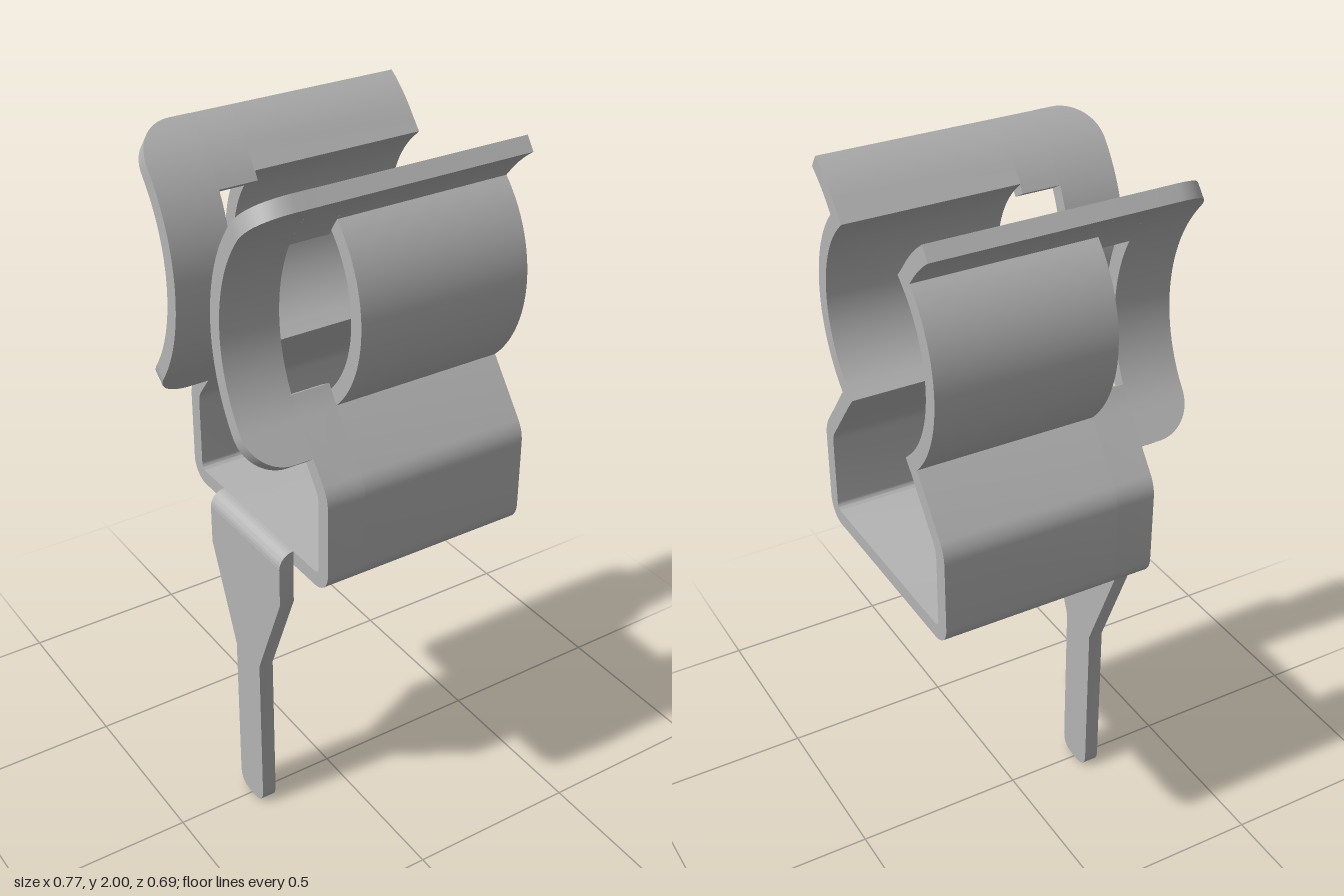
import * as THREE from 'three';
import { toCreasedNormals } from 'three/addons/utils/BufferGeometryUtils.js';

const HALF = 0.0215;                       // half the sheet thickness
const XR = 0.385, XWIN = -0.11, XBODY = -0.22, XEND = -0.385;
const TILT = THREE.MathUtils.degToRad(38), R = 0.43;
const TOP = 0.7025;                        // path length at the flared lip
const P = (z, y) => new THREE.Vector2(z, y);

// Inward-bowed jaw line: straight below s = 0, circular above
function jaw(s) {
  const a = -TILT + Math.max(s, 0) / R, low = Math.min(s, 0);
  return P(0.538 - R * Math.cos(a) - low * Math.sin(TILT), 1.63 + R * Math.sin(a) + low * Math.cos(TILT));
}
function jawRun(s0, s1, n) {
  return Array.from({ length: n + 1 }, (_, i) => jaw(s0 + (s1 - s0) * i / n));
}
const mirror = path => path.map(p => P(-p.x, p.y)).reverse();

// Bent sheet following a (z, y) path; left edge may vary along the path
function sheet(path, xLeft, xRight) {
  const pos = [], idx = [], n = path.length;
  path.forEach((p, i) => {
    const t0 = path[Math.max(i, 1)].clone().sub(path[Math.max(i - 1, 0)]).normalize();
    const t1 = path[Math.min(i + 1, n - 1)].clone().sub(path[Math.min(i, n - 2)]).normalize();
    const t = t0.clone().add(t1).normalize();
    const h = HALF / t.dot(t0);
    const nz = -t.y * h, ny = t.x * h;
    const xl = typeof xLeft === 'function' ? xLeft(i) : xLeft;
    pos.push(xl, p.y + ny, p.x + nz, xRight, p.y + ny, p.x + nz,
      xRight, p.y - ny, p.x - nz, xl, p.y - ny, p.x - nz);
    if (i < n - 1) for (let j = 0; j < 4; j++) {
      const a = i * 4 + j, b = i * 4 + (j + 1) % 4;
      idx.push(a, a + 4, b + 4, a, b + 4, b);
    }
  });
  const e = (n - 1) * 4;
  idx.push(0, 1, 2, 0, 2, 3, e, e + 2, e + 1, e, e + 3, e + 2);
  const g = new THREE.BufferGeometry();
  g.setAttribute('position', new THREE.Float32BufferAttribute(pos, 3));
  g.setIndex(idx);
  return toCreasedNormals(g, 0.6);
}

export function createModel() {
  const group = new THREE.Group();
  const metal = new THREE.MeshStandardMaterial({ color: 0xb4b4b4 });
  metal.name = 'grey metal';
  const add = (name, geometry) => {
    const m = new THREE.Mesh(geometry, metal);
    m.name = name;
    group.add(m);
  };

  // Half of the channel: floor, rounded corner, wall, bend into the slope
  const channel = [P(0, 0.943)];
  for (let i = 0; i <= 8; i++) {
    const a = -Math.PI / 2 + i * Math.PI / 16;
    channel.push(P(0.283 + 0.04 * Math.cos(a), 0.983 + 0.04 * Math.sin(a)));
  }
  const bend = new THREE.QuadraticBezierCurve(P(0.323, 1.18), P(0.323, 1.206), jaw(-0.175));
  channel.push(...bend.getPoints(6));
  const whole = half => [...mirror(half).slice(0, -1), ...half];

  // Full spring profile with the outward-bowed fuse seats
  const seat = [];
  for (let i = 0; i <= 28; i++) {
    const a = (i / 14 - 1) * 0.869;
    seat.push(P(-0.025 + 0.322 * Math.cos(a), 1.63 + 0.322 * Math.sin(a)));
  }
  const spring = [...channel, jaw(0), ...seat, ...jawRun(0.57, TOP, 6)];
  add('springBody', sheet(whole(spring), XWIN, XR));

  // Channel strip beneath the windows
  add('channelEnd', sheet(whole([...channel, ...jawRun(0, 0.066, 3)]), XBODY, XWIN));

  // End plates with rounded corners, and lips above the windows
  const s0 = -0.102, len = TOP - s0, steps = 56, r = 0.11;
  const along = i => len * (1 - Math.cos(Math.PI * i / steps)) / 2;
  const plate = Array.from({ length: steps + 1 }, (_, i) => jaw(s0 + along(i)));
  const corner = i => {
    const d = Math.min(along(i), len - along(i));
    return d >= r ? XEND : XEND + r - Math.sqrt(Math.max(0, r * r - (r - d) ** 2));
  };
  const lip = jawRun(0.504, TOP, 10);
  for (const [side, flip] of [['front', p => p], ['back', mirror]]) {
    add(side + 'EndPlate', sheet(flip(plate), corner, XBODY));
    add(side + 'Lip', sheet(flip(lip), XBODY, XWIN));
  }

  // Solder pin: wide shoulder tapering to a round-ended leg
  const pin = new THREE.Shape();
  pin.moveTo(-0.18, 0.922);
  pin.lineTo(-0.18, 0.805);
  pin.lineTo(-0.0625, 0.52);
  pin.lineTo(-0.0625, 0.05);
  pin.quadraticCurveTo(-0.0625, 0, -0.015, 0);
  pin.lineTo(0.015, 0);
  pin.quadraticCurveTo(0.0625, 0, 0.0625, 0.05);
  pin.lineTo(0.0625, 0.52);
  pin.lineTo(0.18, 0.805);
  pin.lineTo(0.18, 0.922);
  const pinGeo = new THREE.ExtrudeGeometry(pin, { depth: 0.043, bevelEnabled: false, curveSegments: 8 });
  pinGeo.rotateY(Math.PI / 2).translate(-0.264, 0, 0);
  add('pin', toCreasedNormals(pinGeo, 0.6));

  // Quarter-round bend joining pin and floor
  const fold = new THREE.Shape();
  fold.moveTo(-0.22, 0.921);
  fold.lineTo(-0.22, 0.9645);
  fold.absarc(-0.22, 0.921, 0.0435, Math.PI / 2, Math.PI, false);
  const foldGeo = new THREE.ExtrudeGeometry(fold, { depth: 0.36, bevelEnabled: false, curveSegments: 8 });
  foldGeo.translate(0, 0, -0.18);
  add('pinBend', toCreasedNormals(foldGeo, 0.6));

  return group;
}
